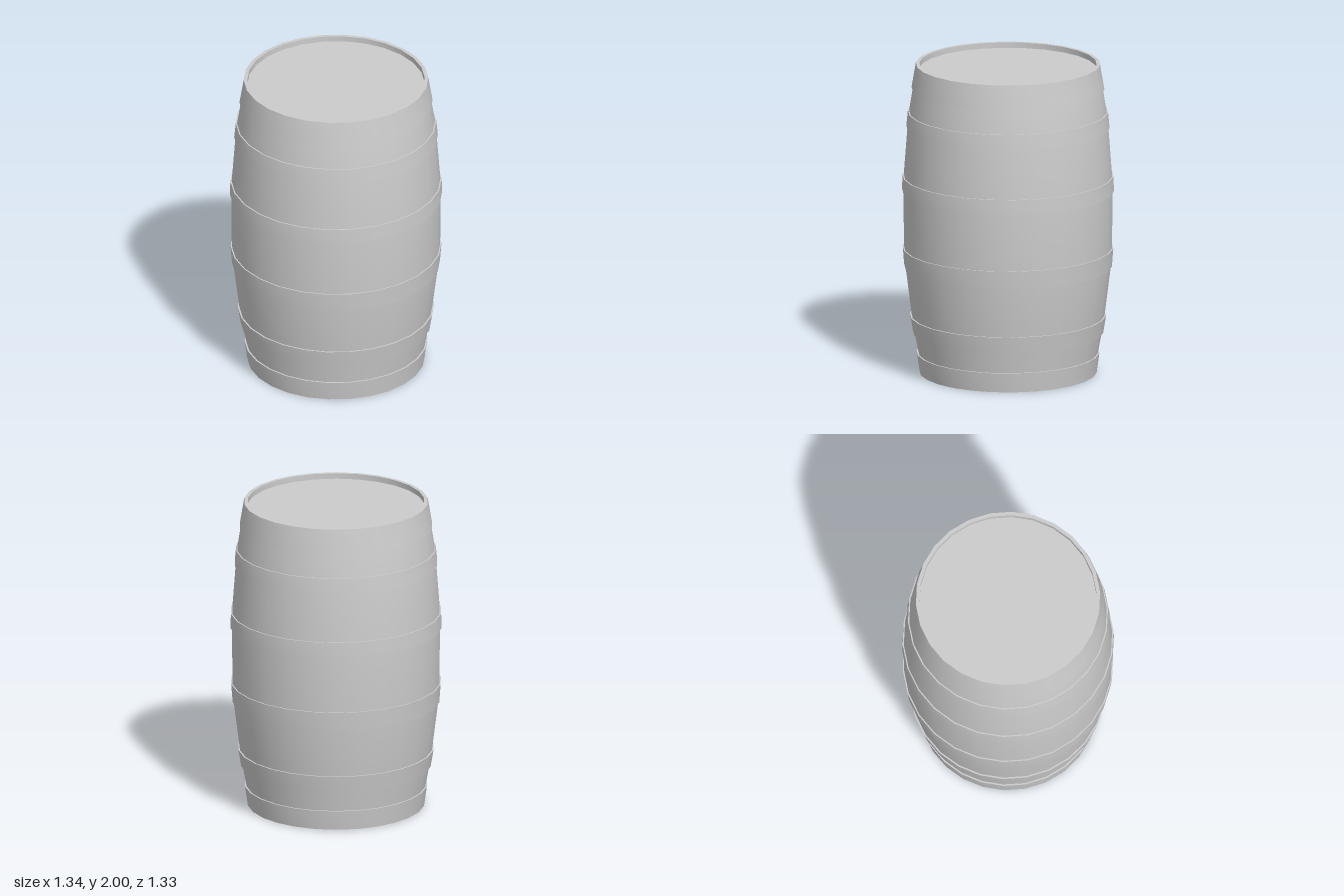
import * as THREE from 'three';
import { toCreasedNormals } from 'three/addons/utils/BufferGeometryUtils.js';

const SIDES = 26;
const material = new THREE.MeshStandardMaterial({ color: 0xcccccc });

// Outer wall of the staves: [radius, height]
const wall = [
  [0.55, 0], [0.568, 0.127], [0.593, 0.26], [0.61, 0.37], [0.65, 0.69], [0.658, 0.81],
  [0.661, 1.18], [0.659, 1.275], [0.635, 1.59], [0.625, 1.69], [0.601, 1.84], [0.573, 2],
];

// Hoops: [bottom height, top height, bottom radius, top radius]
const hoops = [
  [0, 0.127, 0.56, 0.578],
  [0.26, 0.37, 0.602, 0.62],
  [0.69, 0.81, 0.657, 0.666],
  [1.18, 1.275, 0.67, 0.667],
  [1.59, 1.69, 0.643, 0.633],
  [1.84, 2, 0.61, 0.583],
];

const wallRadius = (y) => wall.find((p) => p[1] === y)[0];

function turned(name, points) {
  const profile = points.map(([r, y]) => new THREE.Vector2(r, y));
  const lathe = new THREE.LatheGeometry(profile, SIDES, Math.PI / 2);
  const mesh = new THREE.Mesh(toCreasedNormals(lathe, 0.6), material);
  mesh.name = name;
  return mesh;
}

function head(name, radius, y, facing) {
  const mesh = new THREE.Mesh(new THREE.CircleGeometry(radius, SIDES), material);
  mesh.name = name;
  mesh.rotation.x = -facing * Math.PI / 2;
  mesh.position.y = y;
  return mesh;
}

export function createModel() {
  const barrel = new THREE.Group();
  barrel.name = 'barrel';

  // Staves, with the rims turned in to the recessed heads
  barrel.add(turned('staves', [[0.545, 0.02], [0.545, 0], ...wall, [0.56, 2], [0.56, 1.965]]));
  barrel.add(head('topHead', 0.56, 1.965, 1));
  barrel.add(head('bottomHead', 0.545, 0.02, -1));

  // Raised hoops standing proud of the staves
  hoops.forEach(([y0, y1, r0, r1], i) => {
    barrel.add(turned(`hoop${i + 1}`, [[wallRadius(y0), y0], [r0, y0], [r1, y1], [wallRadius(y1), y1]]));
  });
  return barrel;
}
